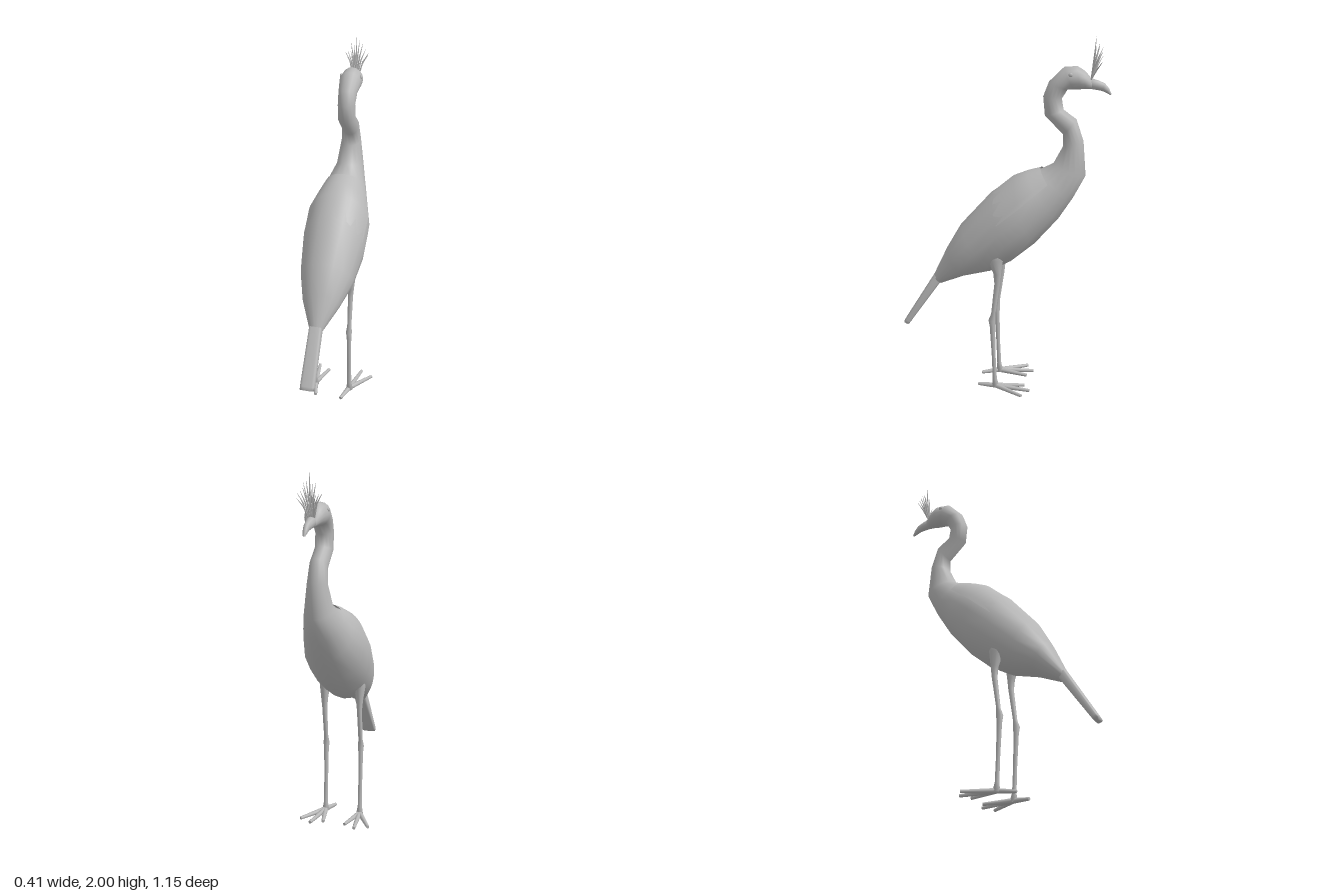
import * as THREE from 'three';

// Loft through rings; each station is [topZ, topY, bottomZ, bottomY, halfWidth].
// power < 1 makes the ring squarer; arc < PI leaves the underside open.
function loft(stations, { x = 0, segments = 16, power = 1, arc = Math.PI } = {}) {
  const pos = [], index = [], row = segments + 1;
  const closed = arc === Math.PI;
  const bend = v => Math.sign(v) * Math.pow(Math.abs(v), power);
  for (const [tz, ty, bz, by, w] of stations) {
    for (let j = 0; j <= segments; j++) {
      const a = -arc + (2 * arc * j) / segments;
      const c = bend(Math.cos(a)), s = bend(Math.sin(a));
      pos.push(x + w * s, (ty + by) / 2 + c * (ty - by) / 2, (tz + bz) / 2 + c * (tz - bz) / 2);
    }
  }
  const wrap = j => (closed && j === segments ? 0 : j);
  for (let i = 0; i < stations.length - 1; i++) {
    for (let j = 0; j < segments; j++) {
      const a = i * row + wrap(j), b = i * row + wrap(j + 1);
      index.push(a, b, a + row, b, b + row, a + row);
    }
  }
  if (closed) {
    for (const end of [0, stations.length - 1]) {
      const [tz, ty, bz, by] = stations[end];
      const centre = pos.length / 3;
      pos.push(x, (ty + by) / 2, (tz + bz) / 2);
      for (let j = 0; j < segments; j++) {
        const a = end * row + wrap(j), b = end * row + wrap(j + 1);
        if (end === 0) index.push(centre, b, a);
        else index.push(centre, a, b);
      }
    }
  }
  const g = new THREE.BufferGeometry();
  g.setAttribute('position', new THREE.Float32BufferAttribute(pos, 3));
  g.setIndex(index);
  g.computeVertexNormals();
  return g;
}

// Tapered rod between two points
function rod(from, to, r0, r1, sides) {
  const dir = to.clone().sub(from);
  const g = new THREE.CylinderGeometry(r1, r0, dir.length(), sides);
  g.translate(0, dir.length() / 2, 0);
  g.applyQuaternion(new THREE.Quaternion().setFromUnitVectors(new THREE.Vector3(0, 1, 0), dir.normalize()));
  g.translate(from.x, from.y, from.z);
  return g;
}

export function createModel() {
  const group = new THREE.Group();
  const plumage = new THREE.MeshStandardMaterial({ color: 0xb8b8b8, side: THREE.DoubleSide });
  plumage.name = 'grey plumage';
  const V = (x, y, z) => new THREE.Vector3(x, y, z);
  const add = (name, geometry, parent = group) => {
    const mesh = new THREE.Mesh(geometry, plumage);
    mesh.name = name;
    parent.add(mesh);
    return mesh;
  };

  // Body, S-shaped neck and head in one smooth skin
  add('bodyNeckHead', loft([
    [0.40, 0.64, 0.355, 0.595, 0.037],
    [0.32, 0.81, 0.22, 0.65, 0.105],
    [0.24, 0.95, 0.06, 0.69, 0.15],
    [0.07, 1.14, -0.05, 0.75, 0.176],
    [-0.05, 1.23, -0.17, 0.85, 0.174],
    [-0.13, 1.255, -0.30, 1.0, 0.135],
    [-0.19, 1.275, -0.38, 1.125, 0.108],
    [-0.27, 1.315, -0.445, 1.25, 0.076],
    [-0.32, 1.41, -0.43, 1.44, 0.055],
    [-0.32, 1.475, -0.39, 1.56, 0.048],
    [-0.22, 1.575, -0.32, 1.61, 0.048],
    [-0.21, 1.68, -0.31, 1.67, 0.048],
    [-0.24, 1.76, -0.34, 1.72, 0.052],
    [-0.32, 1.84, -0.375, 1.72, 0.062],
    [-0.39, 1.845, -0.41, 1.722, 0.058],
    [-0.43, 1.82, -0.435, 1.725, 0.048],
    [-0.465, 1.78, -0.47, 1.725, 0.03],
  ]));

  // Folded wing edge lying over the base of the neck
  add('mantle', loft([
    [0.07, 1.135, -0.05, 0.75, 0.174],
    [-0.05, 1.235, -0.17, 0.85, 0.178],
    [-0.13, 1.268, -0.28, 1.0, 0.141],
    [-0.20, 1.288, -0.33, 1.1, 0.113],
  ], { arc: 1.3 }));

  // Hooked beak
  add('beak', loft([
    [-0.46, 1.783, -0.46, 1.725, 0.03],
    [-0.50, 1.772, -0.495, 1.72, 0.022],
    [-0.535, 1.757, -0.522, 1.715, 0.017],
    [-0.558, 1.73, -0.545, 1.705, 0.013],
    [-0.572, 1.70, -0.564, 1.695, 0.006],
  ], { segments: 10 }));

  // Straight, flat tail
  add('tail', loft([
    [0.575, 0.355, 0.545, 0.342, 0.04],
    [0.565, 0.373, 0.535, 0.355, 0.041],
    [0.395, 0.65, 0.355, 0.61, 0.036],
  ], { power: 0.5 }));

  // Crest: a fan of thin curved plumes
  const crest = new THREE.Group();
  crest.name = 'crest';
  group.add(crest);
  for (let i = 0; i < 13; i++) {
    const t = (i - 6) / 6, k = i % 3;
    const height = 0.215 - 0.10 * Math.abs(t) - 0.02 * k;
    const root = V(0.018 * t, 1.775, -0.462);
    const mid = V(0.036 * t, 1.78 + height * 0.6, -0.478 - 0.008 * k);
    const tip = V(0.066 * t, 1.785 + height, -0.485 - 0.018 * k);
    add('plume', rod(root, mid, 0.003, 0.004, 5), crest);
    add('plumeTip', rod(mid, tip, 0.004, 0.0008, 5), crest);
  }

  for (const s of [1, -1]) {
    const side = s > 0 ? 'left' : 'right';

    // Eye
    const eye = new THREE.SphereGeometry(0.012, 10, 8);
    eye.scale(0.5, 0.9, 1);
    eye.translate(s * 0.056, 1.806, -0.357);
    add(side + 'Eye', eye);

    // Leg from thigh to ankle, with a thicker joint halfway
    add(side + 'Leg', loft([
      [0.86, 0.03, 0.06, 0.035], [0.78, 0.035, 0.042, 0.03], [0.70, 0.025, 0.022, 0.02],
      [0.64, 0.025, 0.016, 0.014], [0.46, 0.048, 0.012, 0.012], [0.42, 0.055, 0.02, 0.017],
      [0.38, 0.053, 0.015, 0.013], [0.20, 0.046, 0.011, 0.011], [0.06, 0.04, 0.012, 0.012],
      [0.012, 0.035, 0.022, 0.02],
    ].map(([y, z, rz, rx]) => [z - rz, y, z + rz, y, rx]), { x: s * 0.103, segments: 10 }));

    // Foot: three forward toes and one hind toe
    const foot = new THREE.Group();
    foot.name = side + 'Foot';
    group.add(foot);
    const ankle = V(s * 0.103, 0.019, 0.035);
    for (const [x, z] of [[0.2, -0.12], [0.13, -0.16], [0.064, -0.125], [0.075, 0.138]]) {
      add('toe', rod(ankle, V(s * x, 0.01, z), 0.015, 0.009, 8), foot);
    }
  }
  return group;
}
